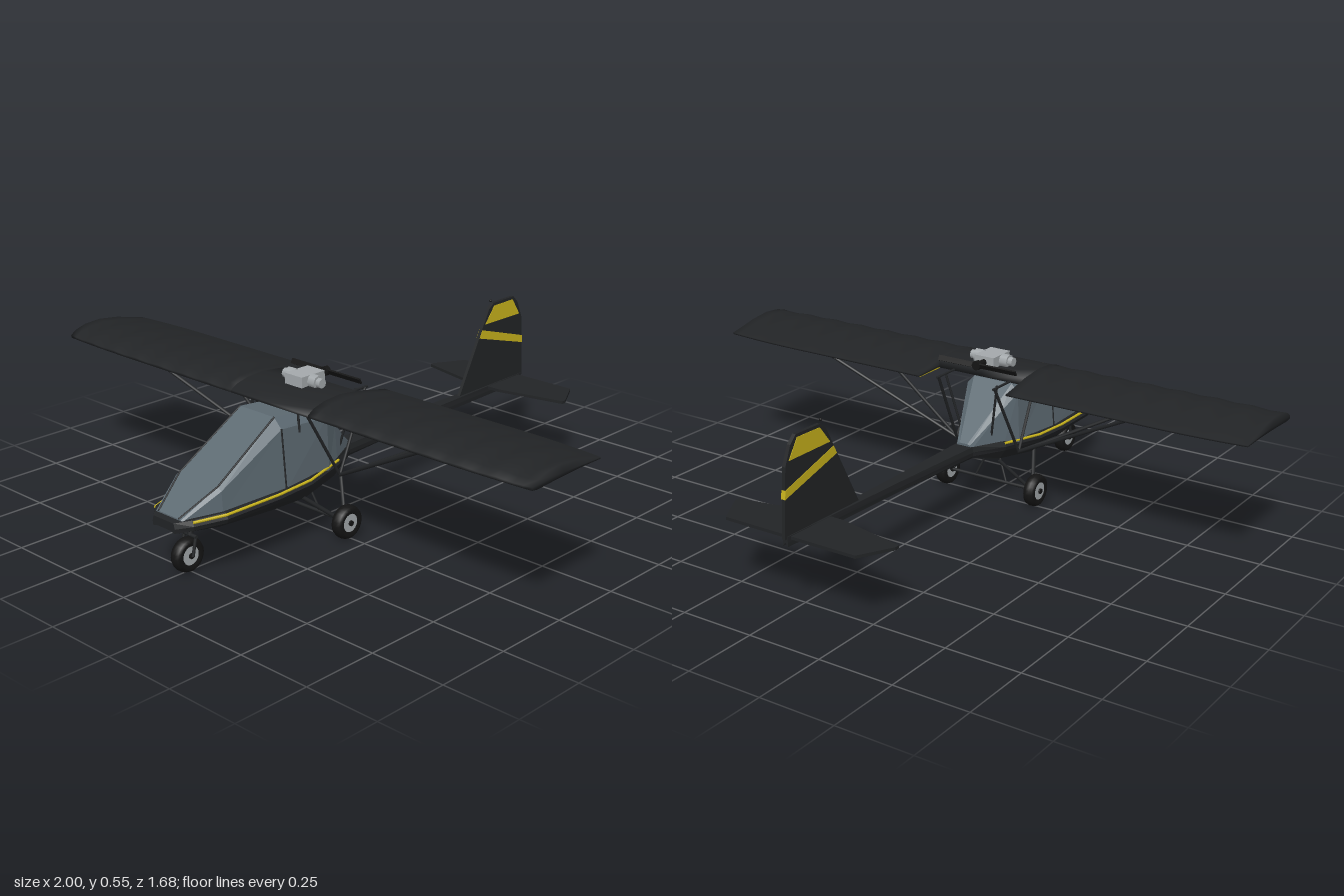
import * as THREE from 'three';

const mat = (color, flat = true) => new THREE.MeshStandardMaterial({ color, flatShading: flat });
const dark = mat(0x222426), darkSmooth = mat(0x222426, false), black = mat(0x141414, false);
const glass = mat(0x5d6a72), yellow = mat(0xc9b41c), metal = mat(0xa4a9ac, false);
const V = (x, y, z) => new THREE.Vector3(x, y, z);

function add(parent, name, geometry, material) {
  const mesh = new THREE.Mesh(geometry, material);
  mesh.name = name;
  parent.add(mesh);
  return mesh;
}

// Skin closed rings of points, cap both ends, and turn the faces outward
function loft(rings) {
  const n = rings[0].length, pts = rings.flat(), index = [];
  for (let r = 0; r < rings.length - 1; r++)
    for (let i = 0; i < n; i++) {
      const a = r * n + i, b = r * n + (i + 1) % n;
      index.push(a, b, b + n, a, b + n, a + n);
    }
  [0, rings.length - 1].forEach((r) => {
    const c = pts.length;
    pts.push(rings[r].reduce((s, p) => s.add(p), V(0, 0, 0)).divideScalar(n));
    for (let i = 0; i < n; i++) {
      const a = r * n + i, b = r * n + (i + 1) % n;
      index.push(...(r ? [a, b, c] : [b, a, c]));
    }
  });
  let volume = 0;
  for (let i = 0; i < index.length; i += 3)
    volume += pts[index[i]].dot(pts[index[i + 1]].clone().cross(pts[index[i + 2]]));
  if (volume < 0) index.reverse();
  const g = new THREE.BufferGeometry().setFromPoints(pts);
  g.setIndex(index);
  g.computeVertexNormals();
  return g;
}

// Ring across x = 0 from its right-hand points
const mirrorRing = (half, z) => [
  ...half.map(([x, y]) => V(x, y, z)),
  ...half.slice().reverse().map(([x, y]) => V(-x, y, z)),
];

function strut(parent, name, a, b, r = 0.006, material = darkSmooth) {
  const d = b.clone().sub(a);
  const m = add(parent, name, new THREE.CylinderGeometry(r, r, d.length(), 8), material);
  m.position.copy(a).addScaledVector(d, 0.5);
  m.quaternion.setFromUnitVectors(V(0, 1, 0), d.normalize());
}

// Upright plate from [z, y] corners, centred on x = 0
function finPlate(corners, thickness) {
  const s = new THREE.Shape(corners.map(([z, y]) => new THREE.Vector2(-z, y)));
  return new THREE.ExtrudeGeometry(s, { depth: thickness, bevelEnabled: false })
    .translate(0, 0, -thickness / 2).rotateY(Math.PI / 2);
}

// Wing section heights: [chord fraction, upper y, lower y]
const airfoil = [[0, 0.446, 0.438], [0.07, 0.46, 0.435], [0.2, 0.471, 0.437], [0.4, 0.475, 0.44],
  [0.65, 0.467, 0.442], [0.85, 0.455, 0.442], [1, 0.446, 0.441]];

function wingRing(x, front, back, bump, cut = 1) {
  const pts = airfoil.filter(([t]) => t <= cut);
  const z = (t) => front + (back - front) * t;
  return [
    ...pts.map(([t, u]) => V(x, u + bump * Math.sin(Math.PI * Math.min(1, t + 0.1)), z(t))),
    ...pts.slice().reverse().map(([t, , l]) => V(x, l, z(t))),
  ];
}

function wheel(parent, name, x, z) {
  const g = new THREE.Group();
  g.name = name;
  const profile = [[0.03, -0.017], [0.042, -0.021], [0.051, -0.016], [0.055, -0.006],
    [0.055, 0.006], [0.051, 0.016], [0.042, 0.021], [0.03, 0.017]];
  add(g, 'tyre', new THREE.LatheGeometry(profile.map((p) => new THREE.Vector2(...p)), 24), black);
  add(g, 'hub', new THREE.CylinderGeometry(0.031, 0.031, 0.034, 20), metal);
  add(g, 'axleCap', new THREE.CylinderGeometry(0.009, 0.009, 0.046, 10), black);
  g.rotation.z = Math.PI / 2;
  g.position.set(x, 0.055, z);
  parent.add(g);
}

export function createModel() {
  const plane = new THREE.Group();
  plane.name = 'lightAircraft';

  // Hull and tail boom: z, half width, rim y, bottom half width, bottom y
  const hull = [[0.84, 0.05, 0.195, 0.035, 0.168], [0.8, 0.09, 0.203, 0.06, 0.16],
    [0.7, 0.127, 0.207, 0.085, 0.152], [0.5, 0.14, 0.213, 0.1, 0.147], [0.36, 0.135, 0.218, 0.1, 0.145],
    [0.2, 0.095, 0.228, 0.07, 0.163], [0.09, 0.036, 0.23, 0.03, 0.19],
    [-0.3, 0.022, 0.236, 0.018, 0.204], [-0.83, 0.009, 0.243, 0.007, 0.222]];
  add(plane, 'fuselage', loft(hull.map(([z, w, y, wb, yb]) =>
    mirrorRing([[w * 0.9, y], [w, y - 0.018], [w * 0.95, y - 0.032], [wb, yb]], z))), dark);

  // Canopy: z, base half width, base y, shoulder half width, top half width, top y
  const canopy = [[0.82, 0.06, 0.197, 0.055, 0.045, 0.203], [0.7, 0.105, 0.2, 0.1, 0.085, 0.28],
    [0.46, 0.124, 0.205, 0.106, 0.075, 0.43], [0.26, 0.108, 0.21, 0.1, 0.075, 0.412],
    [0.2, 0.085, 0.215, 0.075, 0.055, 0.352], [0.085, 0.03, 0.22, 0.025, 0.015, 0.238]];
  add(plane, 'canopy', loft(canopy.map(([z, b, y0, s, t, y1]) =>
    mirrorRing([[b, y0], [s, y0 + (y1 - y0) * 0.86], [t, y1]], z))), glass);

  // Wing: two scalloped outer panels, a shorter centre section, yellow underside panels
  const wing = new THREE.Group();
  wing.name = 'wing';
  plane.add(wing);
  for (const s of [1, -1]) {
    const rings = [];
    for (let i = 0; i <= 28; i++) {
      const x = 0.17 + 0.83 * i / 28;
      const tip = Math.max(0, (x - 0.7) / 0.3) ** 2;
      rings.push(wingRing(s * x, 0.41 - 0.01 * tip, 0.073 + 0.017 * tip, 0.004 * Math.cos(i * Math.PI / 2)));
    }
    add(wing, 'outerWing', loft(rings), darkSmooth);
    const panel = [0.17, 0.62].map((x) => [
      ...airfoil.slice(1).map(([t, , l]) => V(s * x, l + 0.001, 0.41 - 0.33 * t)),
      ...airfoil.slice(1).reverse().map(([t, , l]) => V(s * x, l - 0.002, 0.41 - 0.33 * t)),
    ]);
    add(wing, 'undersidePanel', loft(panel), yellow);
  }
  add(wing, 'centreWing', loft([-0.17, 0, 0.17].map((x) => wingRing(x, 0.41, 0.073, 0, 0.66))), darkSmooth);

  // Braces, cabin frame, yellow trim and main gear legs on each side
  for (const s of [1, -1]) {
    const P = (x, y, z) => V(s * x, y, z);
    const foot = P(0.125, 0.19, 0.23);
    strut(plane, 'frontWingStrut', foot, P(0.6, 0.438, 0.36));
    strut(plane, 'rearWingStrut', foot, P(0.6, 0.438, 0.12));
    strut(plane, 'cabinFrontPost', foot, P(0.11, 0.44, 0.37), 0.005);
    strut(plane, 'cabinRearPost', foot, P(0.11, 0.445, 0.1), 0.005);
    strut(plane, 'cabinInnerPost', P(0.05, 0.21, 0.17), P(0.1, 0.445, 0.13), 0.004);
    strut(plane, 'cabinTopLink', P(0.106, 0.37, 0.385), P(0.1, 0.44, 0.385), 0.004);
    strut(plane, 'wingRootBar', P(0.11, 0.445, 0.09), P(0.11, 0.445, 0.2), 0.004);
    strut(plane, 'windscreenFrame', P(0.045, 0.203, 0.82), P(0.085, 0.28, 0.7), 0.003);
    strut(plane, 'windscreenFrame', P(0.085, 0.28, 0.7), P(0.075, 0.43, 0.46), 0.003);
    strut(plane, 'doorFrame', P(0.124, 0.205, 0.46), P(0.106, 0.4, 0.46), 0.003);
    for (let i = 1; i < 5; i++) {
      const [a, b] = [hull[i], hull[i + 1]].map(([z, w, y]) => P(w * 0.95, y - 0.006, z));
      strut(plane, 'trimLine', a, b, 0.0045, yellow);
    }
    strut(plane, 'mainGearLeg', P(0.1, 0.15, 0.37), P(0.165, 0.055, 0.26), 0.007);
    strut(plane, 'mainGearBrace', P(0.08, 0.165, 0.18), P(0.165, 0.055, 0.25), 0.006);
    strut(plane, 'gearSpring', P(0.02, 0.15, 0.27), P(0.06, 0.06, 0.255), 0.004);
    wheel(plane, 'mainWheel', s * 0.178, 0.255);
    strut(plane, 'noseFork', P(0.026, 0.055, 0.755), P(0.026, 0.115, 0.742), 0.005);
  }
  strut(plane, 'mainAxle', V(-0.17, 0.055, 0.255), V(0.17, 0.055, 0.255), 0.006);
  strut(plane, 'noseLeg', V(0, 0.115, 0.742), V(0, 0.17, 0.73), 0.009);
  strut(plane, 'forkCrown', V(-0.03, 0.115, 0.742), V(0.03, 0.115, 0.742), 0.006);
  wheel(plane, 'noseWheel', 0, 0.755);

  // Engine and pusher propeller
  const engine = new THREE.Group();
  engine.name = 'engine';
  engine.position.set(0, 0.488, 0.255);
  plane.add(engine);
  add(engine, 'crankcase', new THREE.BoxGeometry(0.075, 0.04, 0.1), metal);
  for (const s of [1, -1]) {
    strut(engine, 'cylinder', V(s * 0.03, 0, 0.005), V(s * 0.066, 0, 0.005), 0.023, metal);
    strut(engine, 'cylinderHead', V(s * 0.066, 0, 0.005), V(s * 0.082, 0, 0.005), 0.016, metal);
    const blade = add(engine, 'propellerBlade', new THREE.BoxGeometry(0.15, 0.018, 0.006), black);
    blade.position.set(s * 0.076, 0, -0.092);
    blade.rotation.x = s * 0.5;
  }
  strut(engine, 'propellerShaft', V(0, 0, -0.045), V(0, 0, -0.085), 0.011, black);
  strut(engine, 'propellerHub', V(0, 0, -0.082), V(0, 0, -0.1), 0.016, black);

  // Tail fin with yellow cap and stripe
  add(plane, 'tailFin', finPlate([[-0.49, 0.235], [-0.64, 0.52], [-0.665, 0.538], [-0.775, 0.54],
    [-0.8, 0.515], [-0.825, 0.455], [-0.838, 0.235]], 0.012), dark);
  add(plane, 'finCap', finPlate([[-0.622, 0.47], [-0.668, 0.528], [-0.77, 0.53], [-0.81, 0.47]], 0.015), yellow);
  add(plane, 'finStripe', finPlate([[-0.592, 0.425], [-0.606, 0.452], [-0.83, 0.385], [-0.833, 0.358]], 0.015), yellow);
  const beacon = add(plane, 'tailBeacon', new THREE.SphereGeometry(0.005, 8, 6), black);
  beacon.position.set(0, 0.547, -0.655);

  // Horizontal tailplane outline in x, z
  const half = [[0.06, -0.638], [0.3, -0.69], [0.3, -0.705], [0.24, -0.815]];
  const outline = [...half, ...half.slice().reverse().map(([x, z]) => [-x, z])];
  const tail = new THREE.ExtrudeGeometry(new THREE.Shape(outline.map((p) => new THREE.Vector2(...p))),
    { depth: 0.01, bevelEnabled: false }).rotateX(Math.PI / 2).translate(0, 0.24, 0);
  add(plane, 'tailplane', tail, dark);

  return plane;
}
